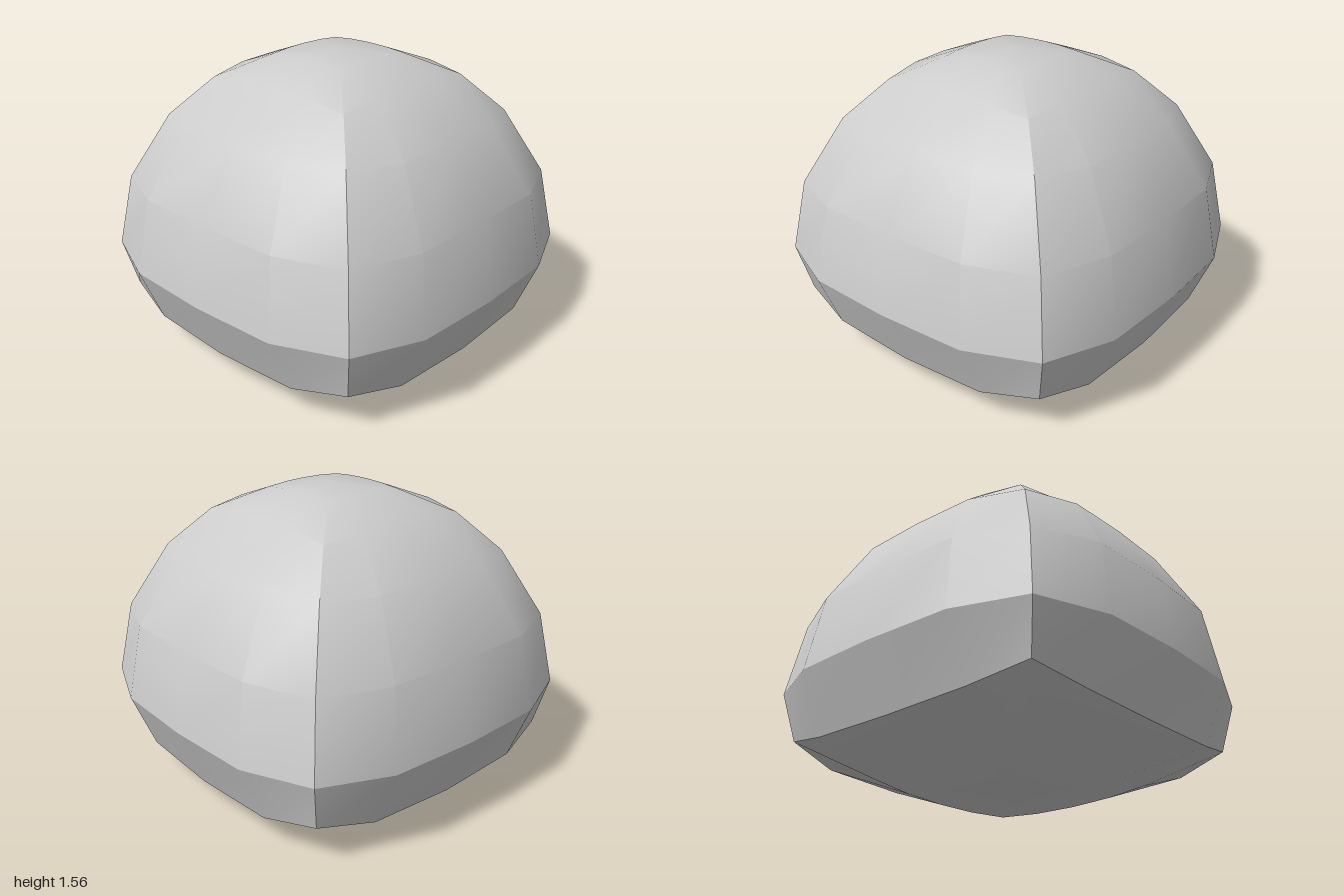
import * as THREE from 'three';
import { toCreasedNormals } from 'three/addons/utils/BufferGeometryUtils.js';

// Rounded-square levels, bottom to top.
// Each holds [offset along the side, distance out, height] for middle, quarter and corner.
const LEVELS = [
  [[0, 0.5, 0.023], [0.245, 0.495, 0.028], [0.48, 0.48, 0.045]],
  [[0, 0.865, 0.157], [0.48, 0.85, 0.172], [0.78, 0.78, 0.235]],
  [[0, 1.0, 0.48], [0.48, 0.98, 0.482], [0.835, 0.835, 0.49]],
  [[0, 0.93, 0.885], [0.44, 0.915, 0.883], [0.775, 0.775, 0.875]],
  [[0, 0.73, 1.23], [0.345, 0.72, 1.228], [0.615, 0.615, 1.22]],
  [[0, 0.47, 1.455], [0.23, 0.465, 1.448], [0.445, 0.445, 1.415]],
  [[0, 0.23, 1.545], [0.115, 0.23, 1.542], [0.23, 0.23, 1.532]],
];

// One closed loop: the same side turned four times about the y axis
function loop([mid, quarter, corner]) {
  const side = [
    [-corner[0], corner[1], corner[2]],
    [-quarter[0], quarter[1], quarter[2]],
    mid,
    quarter,
  ];
  const points = [];
  for (let turn = 0; turn < 4; turn++) {
    for (const [along, out, y] of side) {
      let x = along, z = out;
      for (let k = 0; k < turn; k++) [x, z] = [z, -x];
      points.push([x, y, z]);
    }
  }
  return points;
}

function domeGeometry() {
  const loops = LEVELS.map(loop);
  const n = loops[0].length;
  const base = [0, 0, 0], peak = [0, 1.56, 0];
  const positions = [];
  const triangle = (a, b, c) => positions.push(...a, ...b, ...c);

  for (let i = 0; i < n; i++) {
    const j = (i + 1) % n;
    // Underside and crown fans
    triangle(base, loops[0][j], loops[0][i]);
    const last = loops[loops.length - 1];
    triangle(last[i], last[j], peak);
    // Bands between neighbouring levels
    for (let k = 0; k + 1 < loops.length; k++) {
      const low = loops[k], high = loops[k + 1];
      triangle(low[i], low[j], high[j]);
      triangle(low[i], high[j], high[i]);
    }
  }

  const geometry = new THREE.BufferGeometry();
  geometry.setAttribute('position', new THREE.Float32BufferAttribute(positions, 3));
  return toCreasedNormals(geometry, 0.46);
}

export function createModel() {
  const group = new THREE.Group();
  group.name = 'roundedBlock';
  const dome = new THREE.Mesh(
    domeGeometry(),
    new THREE.MeshStandardMaterial({ color: 0xcccccc })
  );
  dome.name = 'squareDome';
  group.add(dome);
  return group;
}
